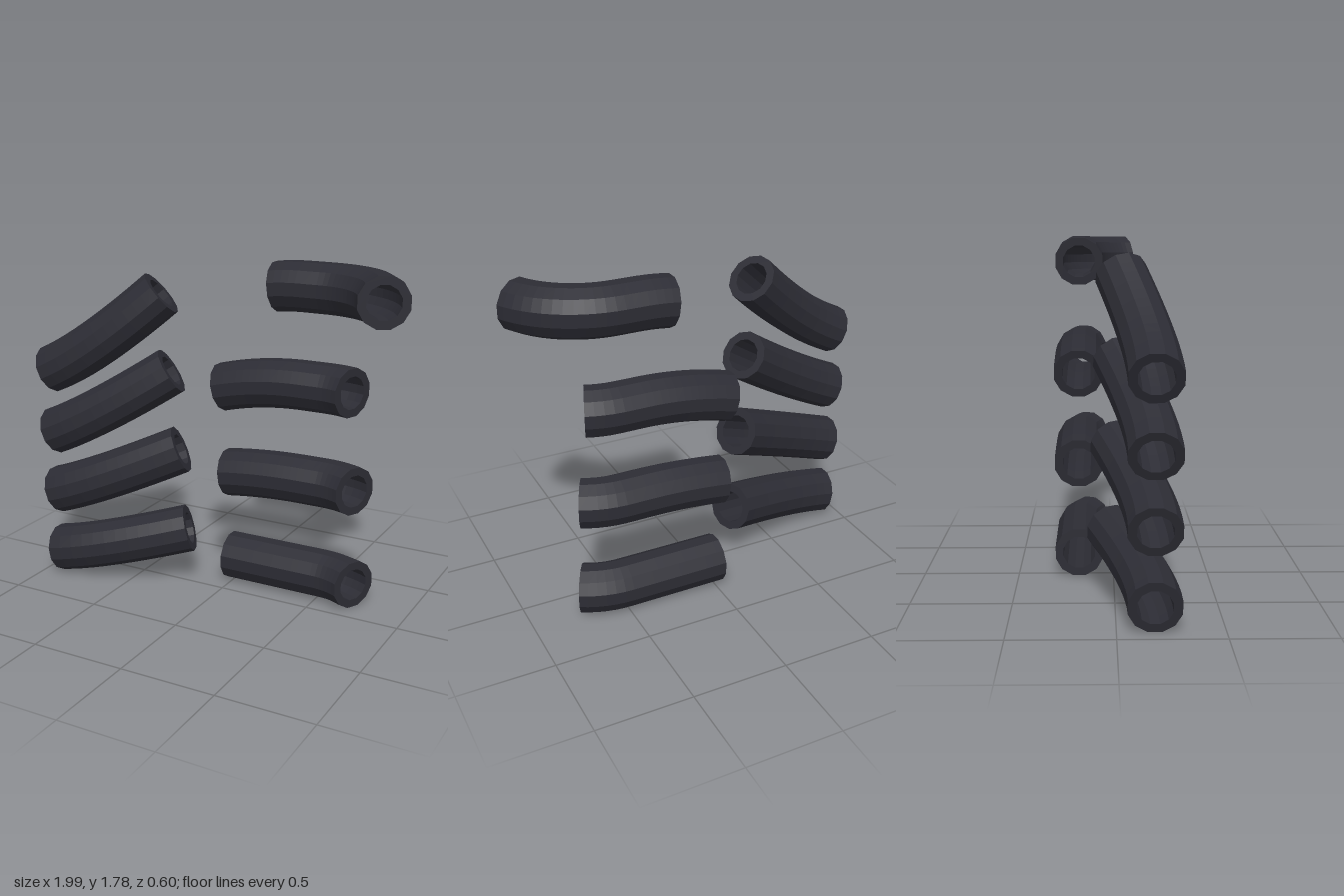
import * as THREE from 'three';

const OUTER = 0.129, INNER = 0.086, SIDES = 12;
const V = (x, y, z) => new THREE.Vector3(x, y, z);

// twelve-sided ring cross-section
function ringShape() {
  const ring = (r) => Array.from({ length: SIDES }, (_, i) => {
    const a = ((i + 0.5) / SIDES) * Math.PI * 2;
    return new THREE.Vector2(Math.cos(a) * r, Math.sin(a) * r);
  });
  const shape = new THREE.Shape(ring(OUTER));
  shape.holes.push(new THREE.Path(ring(INNER).reverse()));
  return shape;
}

// path of a left-bank pipe: one gentle bend
function gentlePath([start, bend, end]) {
  return new THREE.QuadraticBezierCurve3(V(...start), V(...bend), V(...end));
}

// path of a right-bank pipe: rises to level, runs straight, then turns forward
function elbowPath({ x, y, slope, turn }) {
  const levelX = 0.38, turnX = 0.5, z = -0.18, R = 0.42;
  const points = [];
  for (let i = 0; i < 8; i++) {
    const px = x + (turnX - x) * (i / 8);
    const d = Math.max(0, levelX - px);
    points.push(V(px, y - (slope * d * d) / (2 * (levelX - x)), z));
  }
  const steps = 10, angle = THREE.MathUtils.degToRad(turn);
  for (let i = 0; i <= steps; i++) {
    const a = (angle * i) / steps;
    points.push(V(turnX + R * Math.sin(a), y, z + R * (1 - Math.cos(a))));
  }
  return new THREE.CatmullRomCurve3(points);
}

export function createModel() {
  const model = new THREE.Group();
  model.name = 'pipes';
  const darkMetal = new THREE.MeshStandardMaterial({ color: 0x2c2c34 });
  darkMetal.name = 'darkMetal';
  const shape = ringShape();

  function addPipe(name, path, steps) {
    const geometry = new THREE.ExtrudeGeometry(shape, { steps, extrudePath: path, bevelEnabled: false });
    const mesh = new THREE.Mesh(geometry, darkMetal);
    mesh.name = name;
    model.add(mesh);
  }

  // bank on the -x side, bottom to top: start, bend, end
  [
    [[-0.932, 0.13, 0.175], [-0.68, 0.18, 0.175], [-0.213, 0.313, -0.02]],
    [[-0.935, 0.478, 0.175], [-0.68, 0.562, 0.175], [-0.25, 0.765, 0]],
    [[-0.94, 0.82, 0.175], [-0.68, 0.93, 0.175], [-0.295, 1.195, 0.015]],
    [[-0.948, 1.165, 0.175], [-0.69, 1.28, 0.175], [-0.34, 1.605, 0.03]],
  ].forEach((p, i) => addPipe(`gentlePipe${i + 1}`, gentlePath(p), 12));

  // bank on the +x side, bottom to top
  [
    { x: -0.04, y: 0.133, slope: 0, turn: 30 },
    { x: -0.058, y: 0.645, slope: 0.14, turn: 27.5 },
    { x: -0.095, y: 1.155, slope: 0.28, turn: 22 },
    { x: 0.22, y: 1.664, slope: 0.14, turn: 66 },
  ].forEach((p, i) => addPipe(`elbowPipe${i + 1}`, elbowPath(p), 20));

  return model;
}
